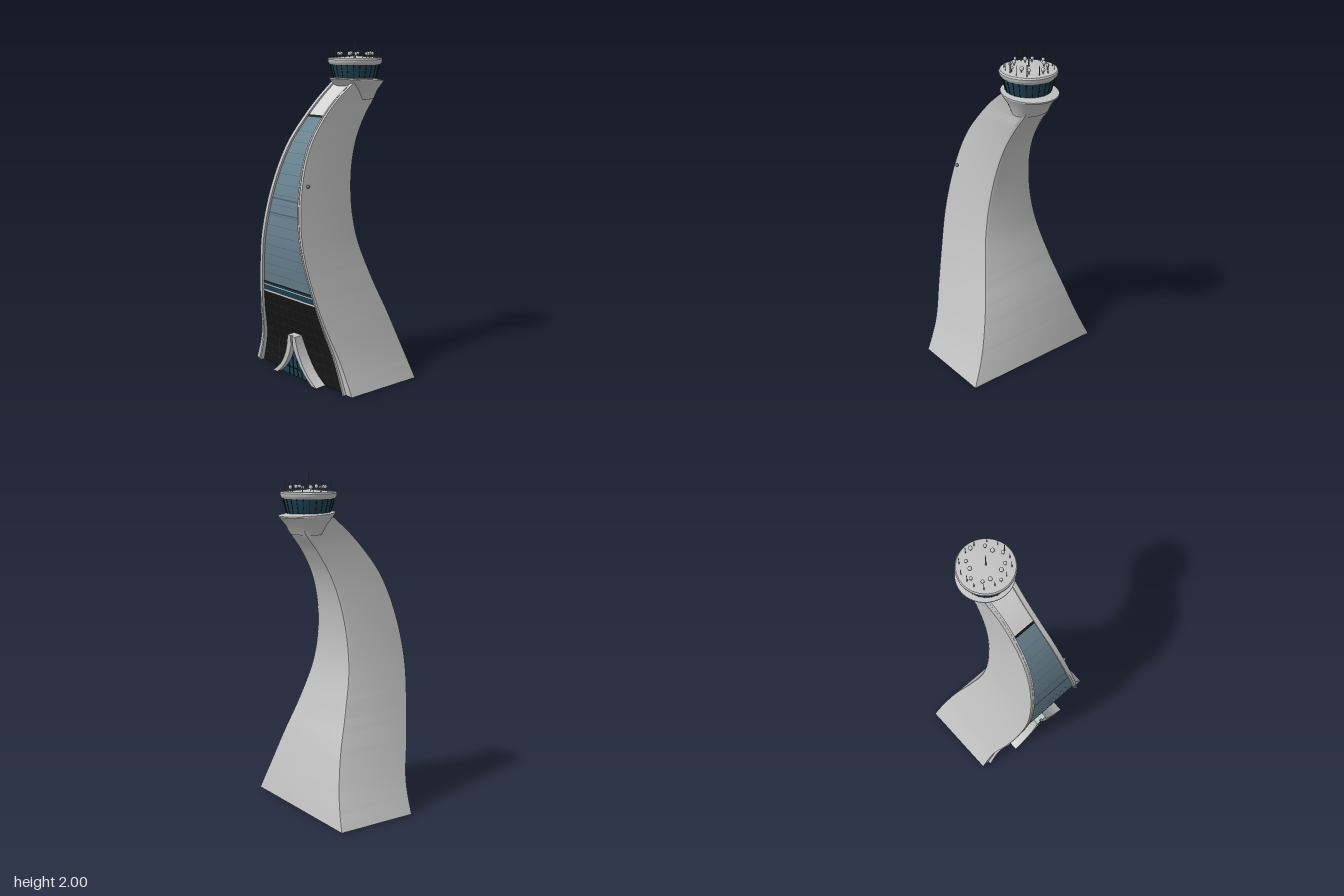
import * as THREE from 'three';
import { toCreasedNormals } from 'three/addons/utils/BufferGeometryUtils.js';

const mat = (name, color, side = THREE.FrontSide) => {
  const m = new THREE.MeshStandardMaterial({ color, side });
  m.name = name;
  return m;
};

// Tower profile by height: half width, front z, back z
const HEIGHTS = [0, 0.1, 0.2, 0.4, 0.6, 0.87, 1.17, 1.4, 1.55, 1.65, 1.74];
const PROFILE = [
  0.455, 0.225, -0.275, 0.41, 0.232, -0.257, 0.37, 0.246, -0.235, 0.305, 0.3, -0.18,
  0.25, 0.34, -0.112, 0.19, 0.366, -0.044, 0.14, 0.322, -0.053, 0.11, 0.23, -0.118,
  0.097, 0.115, -0.205, 0.095, 0.015, -0.28, 0.103, -0.1, -0.31,
];
const spline = new THREE.CubicInterpolant(HEIGHTS, PROFILE, 3);
const RECESS = 0.014;

function at(y) {
  const [hw, zf, zb] = spline.evaluate(y);
  const low = Math.max(0, 1 - y / 0.5);
  return { hw, zf, zb, low, inner: hw - 0.022 - 0.033 * low ** 1.5 };
}

// Skin a list of rings, each a list of [x, y, z] running anticlockwise from above
function loft(rings, { closed = true, caps = true, crease = 0.5 } = {}) {
  const pos = [], n = rings[0].length;
  const tri = (...p) => p.forEach((v) => pos.push(...v));
  for (let i = 0; i < rings.length - 1; i++) {
    for (let j = 0; j < (closed ? n : n - 1); j++) {
      const k = (j + 1) % n, a = rings[i][j], b = rings[i][k], c = rings[i + 1][k], d = rings[i + 1][j];
      tri(a, b, c);
      tri(a, c, d);
    }
  }
  if (closed && caps) {
    [rings[0], rings[rings.length - 1]].forEach((ring, end) => {
      const mid = [0, 1, 2].map((q) => ring.reduce((s, p) => s + p[q], 0) / n);
      ring.forEach((p, j) => {
        const next = ring[(j + 1) % n];
        if (end) tri(mid, p, next); else tri(mid, next, p);
      });
    });
  }
  const g = new THREE.BufferGeometry();
  g.setAttribute('position', new THREE.Float32BufferAttribute(pos, 3));
  g.computeVertexNormals();
  return toCreasedNormals(g, crease);
}

// Rings sampled from y0 to y1 with a cross-section rule
const sample = (y0, y1, steps, rule) =>
  Array.from({ length: steps + 1 }, (_, i) => {
    const y = y0 + ((y1 - y0) * i) / steps;
    return rule(at(y), y).map(([x, z]) => [x, y, z]);
  });

export function createModel() {
  const root = new THREE.Group();
  const shell = mat('shell grey', 0xc2c2c2);
  const light = mat('pale panel', 0xd2d2d2, THREE.DoubleSide);
  const glass = mat('blue glass', 0x68818f, THREE.DoubleSide);
  const frame = mat('glass frame', 0x4b606c, THREE.DoubleSide);
  const black = mat('black cladding', 0x161616, THREE.DoubleSide);
  const seam = mat('cladding seam', 0x2b2b2b, THREE.DoubleSide);
  const teal = mat('dark teal glass', 0x1f4152, THREE.DoubleSide);
  const metal = mat('antenna metal', 0x77797b);

  const add = (name, geo, material, x = 0, y = 0, z = 0, parent = root) => {
    const m = new THREE.Mesh(geo, material);
    m.name = name;
    m.position.set(x, y, z);
    parent.add(m);
    return m;
  };

  // Curved tower shell with a shallow channel down the front
  add('towerShell', loft(sample(0, 1.74, 70, ({ hw, zf, zb, inner }, y) => {
    const c = 0.001 + 0.028 * THREE.MathUtils.smoothstep(y, 0.3, 1.2);
    const zr = zf - RECESS;
    return [[-hw, zf], [-inner, zf], [-inner, zr], [inner, zr], [inner, zf], [hw, zf],
      [hw, zb + c], [hw - 0.3 * c, zb + 0.3 * c], [hw - c, zb],
      [c - hw, zb], [0.3 * c - hw, zb + 0.3 * c], [-hw, zb + c]];
  })), shell);

  // Ribs beside the front channel, standing prouder at the feet
  for (const s of [-1, 1]) {
    add(s > 0 ? 'leftRib' : 'rightRib', loft(sample(0, 1.73, 50, ({ zf, inner, low }) => {
      const a = s * inner - 0.006, b = s * inner + 0.006, z = zf + 0.003 + 0.016 * low;
      return [[a, z], [b, z], [b, zf - 0.02], [a, zf - 0.02]];
    })), shell);
  }

  // Thin front plates that follow the channel
  const plate = (name, y0, y1, material, lift = 0.003, x0 = -1, x1 = 1) =>
    add(name, loft(sample(y0, y1, Math.max(1, Math.ceil((y1 - y0) / 0.03)),
      ({ zf, inner }) => [[x0 * inner, zf - RECESS + lift], [x1 * inner, zf - RECESS + lift]]),
    { closed: false }), material);
  plate('lowerCladding', 0, 0.495, black);
  plate('lobbyBand', 0.495, 0.56, teal);
  plate('windowWall', 0.56, 1.55, glass);
  plate('upperPanel', 1.55, 1.74, light);
  plate('lowerTrim', 0.494, 0.504, light, 0.006);
  plate('bandTrim', 0.538, 0.544, light, 0.006);
  plate('bandSill', 0.555, 0.565, black, 0.006);
  plate('windowHead', 1.54, 1.553, black, 0.006);
  for (const y of [0.99, 1.075]) plate('floorLine', y, y + 0.008, frame, 0.006);
  for (let y = 0.62; y < 1.52; y += 0.06) plate('windowTransom', y, y + 0.002, frame, 0.005);
  for (let y = 0.06; y < 0.48; y += 0.06) plate('claddingSeam', y, y + 0.002, seam, 0.005);
  for (let i = -4; i <= 4; i++) {
    plate('claddingJoint', 0, 0.49, seam, 0.005, i / 5 - 0.003, i / 5 + 0.003);
  }

  // Entrance canopy: two swept legs meeting in a pointed arch
  const canopy = new THREE.Group();
  canopy.name = 'entranceCanopy';
  canopy.rotation.x = 0.07;
  canopy.position.z = 0.215;
  root.add(canopy);
  for (const s of [-1, 1]) {
    const leg = new THREE.Shape();
    leg.moveTo(s * 0.21, 0);
    leg.quadraticCurveTo(s * 0.06, 0.085, s * 0.036, 0.27);
    leg.lineTo(s * 0.008, 0.27);
    leg.lineTo(s * 0.008, 0.21);
    leg.quadraticCurveTo(s * 0.05, 0.08, s * 0.165, 0);
    add(s > 0 ? 'leftCanopyLeg' : 'rightCanopyLeg',
      new THREE.ExtrudeGeometry(leg, { depth: 0.068, bevelEnabled: false, curveSegments: 14 }),
      shell, 0, 0, 0, canopy);
  }
  add('canopyRidge', new THREE.BoxGeometry(0.03, 0.06, 0.055), shell, 0, 0.24, 0.03, canopy);
  const door = new THREE.Shape();
  door.moveTo(-0.18, 0);
  door.quadraticCurveTo(-0.055, 0.08, 0, 0.24);
  door.quadraticCurveTo(0.055, 0.08, 0.18, 0);
  add('entranceGlass', new THREE.ShapeGeometry(door), teal, 0, 0, 0.035, canopy);
  for (const x of [-0.08, -0.04, 0, 0.04, 0.08]) {
    const h = 0.18 - 1.4 * Math.abs(x);
    add('entranceMullion', new THREE.BoxGeometry(0.004, h, 0.004), black, x, h / 2, 0.037, canopy);
  }
  add('entranceRail', new THREE.BoxGeometry(0.2, 0.004, 0.004), black, 0, 0.05, 0.037, canopy);

  // Flared collar, oval below and round at its slightly tilted rim
  const SEG = 40;
  const oval = (y, rx, rz, cz, tilt = 0) => Array.from({ length: SEG }, (_, j) => {
    const t = (j / SEG) * Math.PI * 2;
    return [Math.sin(t) * rx, y - tilt * Math.cos(t + Math.PI), cz + Math.cos(t) * rz];
  });
  add('collar', loft([
    oval(1.635, 0.112, 0.08, -0.21), oval(1.69, 0.13, 0.115, -0.206, 0.004),
    oval(1.743, 0.16, 0.163, -0.201, 0.011), oval(1.75, 0.16, 0.163, -0.201, 0.011),
    oval(1.757, 0.12, 0.12, -0.195, 0.004),
  ]), shell);

  // Control room
  const cab = new THREE.Group();
  cab.name = 'controlRoom';
  cab.position.z = -0.19;
  root.add(cab);
  add('cabWindows', new THREE.CylinderGeometry(0.148, 0.125, 0.09, 32), teal, 0, 1.797, 0, cab);
  const lean = Math.atan2(0.023, 0.09);
  for (let i = 0; i < 24; i++) {
    const spoke = new THREE.Group();
    spoke.name = 'cabMullion';
    spoke.rotation.y = (i / 24) * Math.PI * 2;
    cab.add(spoke);
    add('mullionBar', new THREE.BoxGeometry(0.003, 0.088, 0.004), black, 0, 1.797, 0.1365, spoke).rotation.x = lean;
  }
  const roof = [[0, 1.836], [0.15, 1.836], [0.16, 1.85], [0.162, 1.865], [0.156, 1.874], [0, 1.887]];
  add('roof', toCreasedNormals(new THREE.LatheGeometry(roof.map((p) => new THREE.Vector2(...p)), 48), 0.5), shell, 0, 0, 0, cab);

  // Roof domes on short stems, and whip antennas: [x, z, size]
  const both = (list) => list.flatMap(([x, z, r]) => (x ? [[x, z, r], [-x, z, r]] : [[x, z, r]]));
  const domes = [[0, -0.31, 0.012], [0.065, -0.27, 0.01], [0.077, -0.225, 0.012], [0.11, -0.18, 0.01],
    [0.077, -0.127, 0.01], [0.038, -0.112, 0.012], [0, -0.072, 0.009]];
  for (const [x, z, r] of both(domes)) {
    add('domeStem', new THREE.CylinderGeometry(0.003, 0.003, 0.03, 6), metal, x, 1.885, z);
    add('radarDome', new THREE.SphereGeometry(r, 14, 10), shell, x, 1.9, z);
  }
  const whips = [[0.03, -0.315, 1.93], [0.095, -0.29, 1.94], [0.126, -0.24, 1.93], [0.128, -0.19, 1.94],
    [0.122, -0.142, 1.92], [0.095, -0.097, 1.94], [0.04, -0.075, 1.93]];
  for (const [x, z, top] of both(whips)) {
    add('whipAntenna', new THREE.CylinderGeometry(0.0015, 0.0025, top - 1.87, 6), metal, x, (top + 1.87) / 2, z);
  }
  add('mast', new THREE.CylinderGeometry(0.0015, 0.004, 0.12, 8), metal, 0, 1.94, -0.19);

  // Small sensor ball on the side of the tower
  add('sideSensor', new THREE.SphereGeometry(0.01, 14, 10), metal, 0.15, 1.17, 0.29);
  return root;
}
